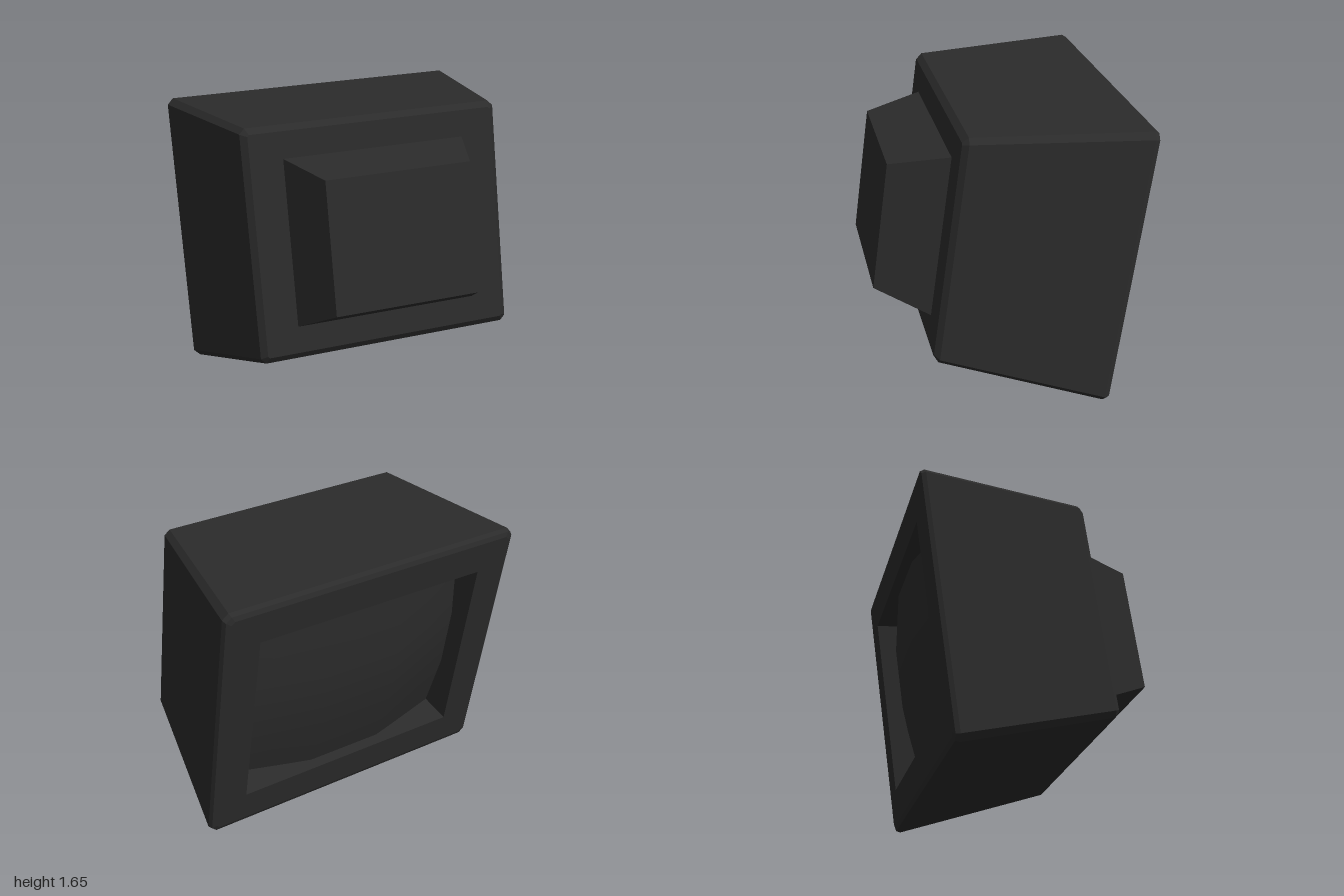
import * as THREE from 'three';

// Chamfered rectangle ring, counter-clockwise seen from +z
function ring(hw, hh, z, c = 0.001) {
  return [
    [hw, -hh + c], [hw, hh - c], [hw - c, hh], [-hw + c, hh],
    [-hw, hh - c], [-hw, -hh + c], [-hw + c, -hh], [hw - c, -hh],
  ].map(([x, y]) => [x, y, z]);
}

// Skin consecutive rings with flat-shaded quads
function loft(rings) {
  const pos = [];
  for (let r = 0; r < rings.length - 1; r++) {
    const a = rings[r], b = rings[r + 1], n = a.length;
    for (let i = 0; i < n; i++) {
      const j = (i + 1) % n;
      pos.push(...a[i], ...a[j], ...b[j], ...a[i], ...b[j], ...b[i]);
    }
  }
  const g = new THREE.BufferGeometry();
  g.setAttribute('position', new THREE.Float32BufferAttribute(pos, 3));
  g.computeVertexNormals();
  return g;
}

export function createModel() {
  const plastic = new THREE.MeshStandardMaterial({ color: 0x2b2b2b });
  plastic.name = 'darkPlastic';

  const monitor = new THREE.Group();
  monitor.name = 'monitor';
  const add = (name, geometry) => {
    const mesh = new THREE.Mesh(geometry, plastic);
    mesh.name = name;
    monitor.add(mesh);
  };

  // Casing: recess wall, bezel, rounded rim, tapering sides, rear face
  add('casing', loft([
    ring(0.70, 0.56, 0.2),
    ring(0.715, 0.575, 0),
    ring(0.895, 0.77, 0, 0.02),
    ring(0.922, 0.797, 0.01, 0.03),
    ring(0.932, 0.807, 0.035, 0.035),
    ring(0.772, 0.662, 0.97, 0.03),
    ring(0.737, 0.627, 1.0, 0.01),
    ring(0.53, 0.465, 1.0),
  ]));

  // Bulging screen set inside the recess
  const screen = new THREE.PlaneGeometry(1.415, 1.135, 3, 3);
  const p = screen.attributes.position;
  for (let i = 0; i < p.count; i++) {
    const s = p.getX(i) / 0.7075, t = p.getY(i) / 0.5675;
    p.setZ(i, -0.18 + 0.135 * (1 - s * s) + 0.065 * (1 - t * t));
  }
  screen.computeVertexNormals();
  screen.rotateY(Math.PI);
  add('screen', screen);

  // Tapered housing on the rear
  const q = Math.SQRT1_2;
  const housing = new THREE.CylinderGeometry(0.745 * q, 0.95 * q, 0.32, 4, 1)
    .rotateY(Math.PI / 4).rotateX(Math.PI / 2).scale(1.148, 1, 1)
    .translate(0, 0, 1.16).toNonIndexed();
  housing.computeVertexNormals();
  add('rearHousing', housing);

  // Tilt the whole monitor so it rests on one lower corner, screen to the back
  const u = new THREE.Vector3(0.956, 0.03, -0.292).normalize();
  const w = new THREE.Vector3(0.285, 0.147, 0.948);
  const v = w.clone().cross(u).normalize();
  w.crossVectors(u, v);
  monitor.quaternion.setFromRotationMatrix(new THREE.Matrix4().makeBasis(u, v, w));
  monitor.position.set(-0.0575, 0.83, -0.525);

  const model = new THREE.Group();
  model.name = 'model';
  model.add(monitor);
  return model;
}
